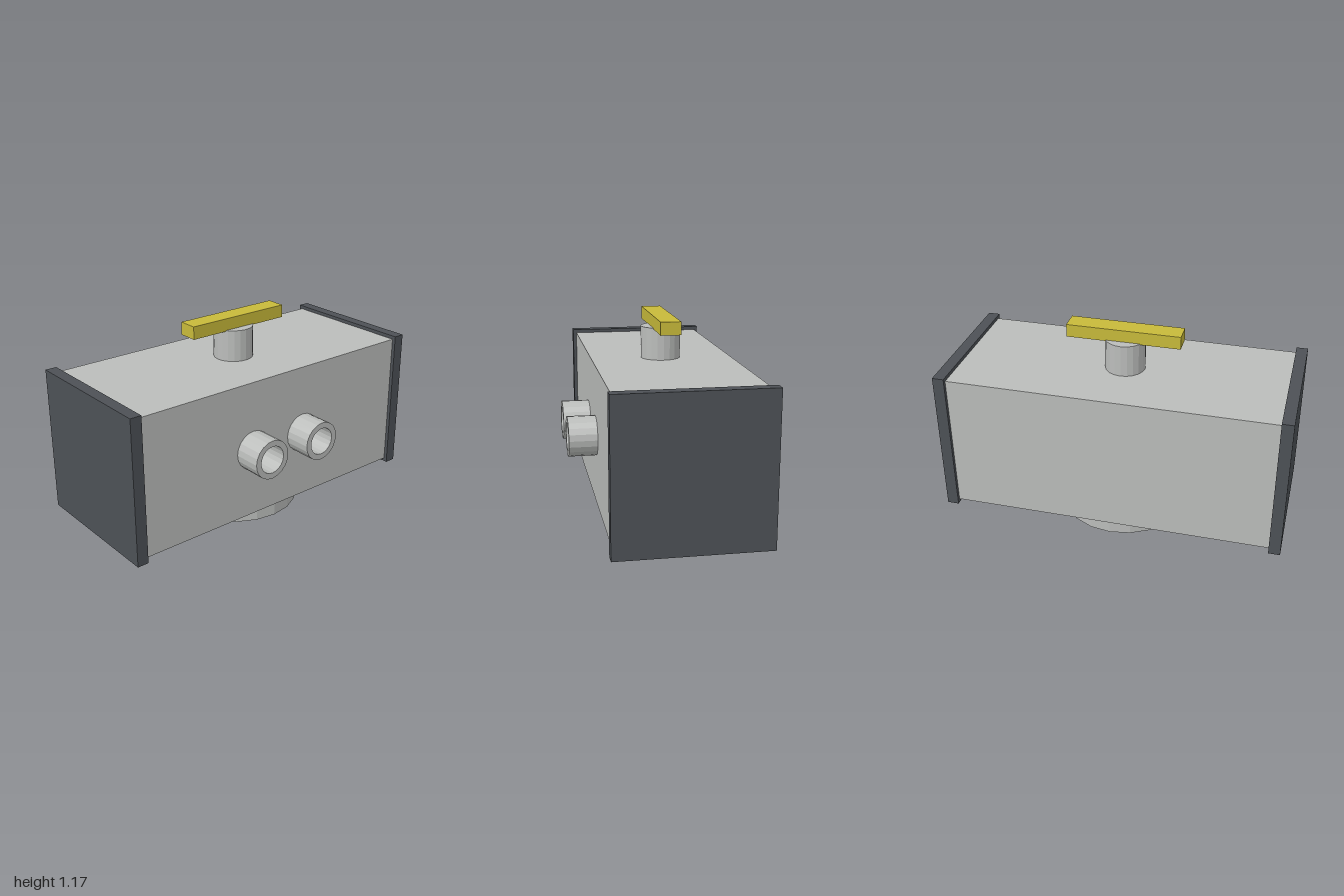
import * as THREE from 'three';

export function createModel() {
  const model = new THREE.Group();
  const material = (name, color, flatShading = true) => {
    const m = new THREE.MeshStandardMaterial({ color, flatShading });
    m.name = name;
    return m;
  };
  const grey = material('light grey metal', 0xbbbdbb);
  const dark = material('dark slate', 0x4d5156);
  const yellow = material('yellow', 0xc8ba3a);

  const SIDES = 20;
  const axisZ = -0.07; // centre line of housing, stem and base

  const add = (name, geometry, mat, x, y, z) => {
    const mesh = new THREE.Mesh(geometry, mat);
    mesh.name = name;
    mesh.position.set(x, y, z);
    model.add(mesh);
    return mesh;
  };

  // Main housing on its round base
  add('housing', new THREE.BoxGeometry(1.866, 0.82, 0.82), grey, 0, 0.5, axisZ);
  add('base', new THREE.CylinderGeometry(0.385, 0.385, 0.09, SIDES), grey, 0, 0.045, axisZ);

  // Stem and bar handle on top
  add('stem', new THREE.CylinderGeometry(0.116, 0.116, 0.186, SIDES), grey, 0, 1.003, axisZ);
  add('handle', new THREE.BoxGeometry(0.656, 0.075, 0.116), yellow, 0, 1.128, axisZ);

  // Hollow port: outer wall, rim and bore, with depth along +z
  const port = new THREE.LatheGeometry([
    [0.116, 0], [0.116, 0.164], [0.081, 0.164], [0.081, 0],
  ].map(([r, h]) => new THREE.Vector2(r, h)), SIDES);
  port.rotateX(Math.PI / 2);

  // Mirrored end plates and front ports
  for (const [side, s] of [['left', 1], ['right', -1]]) {
    add(`${side}EndPlate`, new THREE.BoxGeometry(0.067, 0.862, 0.862), dark, s * 0.9665, 0.5, axisZ);
    add(`${side}Port`, port, grey, s * 0.187, 0.5, 0.339);
  }

  return model;
}
